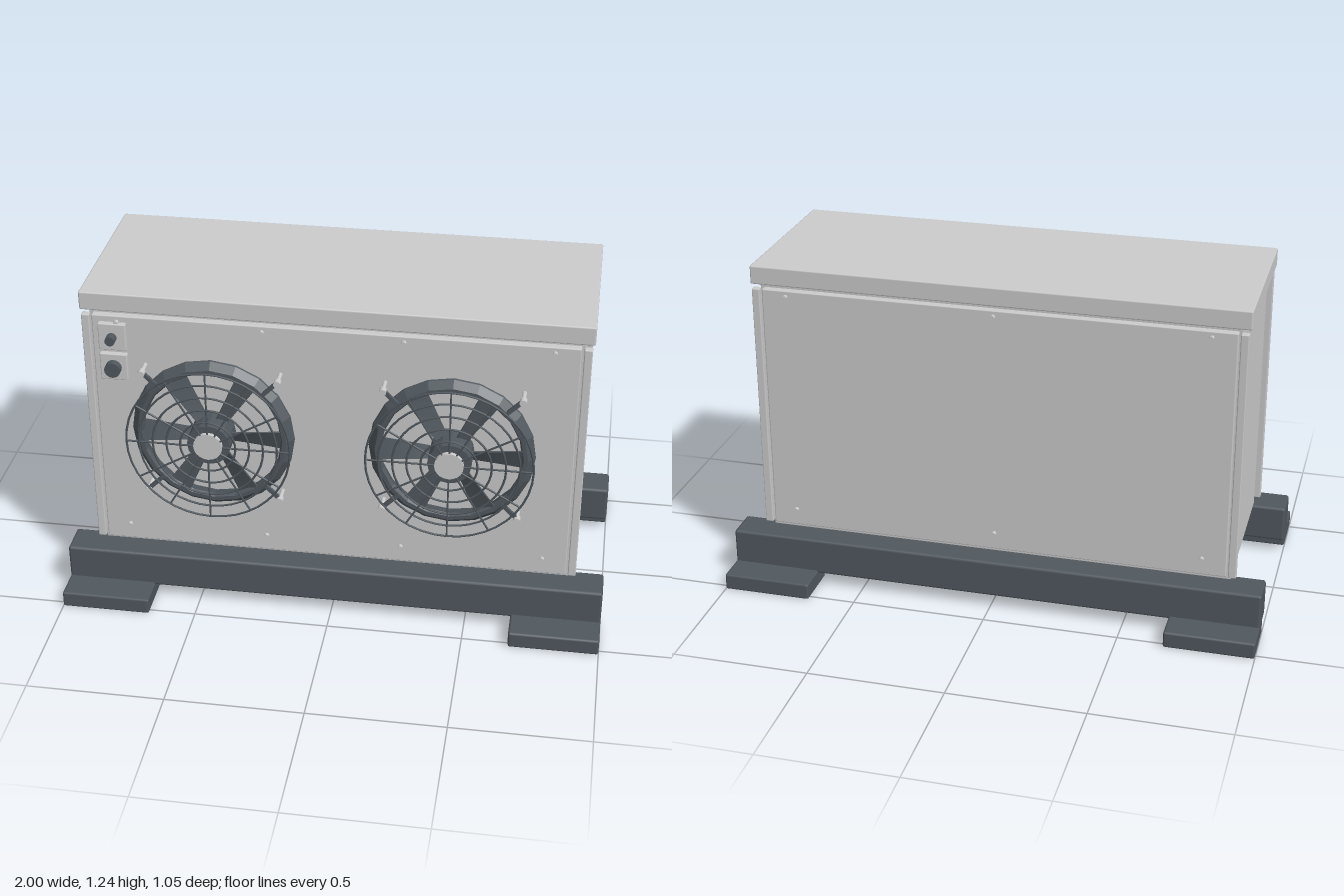
import * as THREE from 'three';
import { RoundedBoxGeometry } from 'three/addons/geometries/RoundedBoxGeometry.js';

const grey = new THREE.MeshStandardMaterial({ color: 0xcccccc });
const dark = new THREE.MeshStandardMaterial({ color: 0x50585e });
const darkFlat = new THREE.MeshStandardMaterial({ color: 0x50585e, flatShading: true });
const bladeMat = new THREE.MeshStandardMaterial({ color: 0x50585e, side: THREE.DoubleSide });

function add(parent, name, geometry, material, x = 0, y = 0, z = 0) {
  const mesh = new THREE.Mesh(geometry, material);
  mesh.name = name;
  mesh.position.set(x, y, z);
  parent.add(mesh);
  return mesh;
}

// Box given by its extents on each axis, with a small bevel
function block(parent, name, material, [x0, x1], [y0, y1], [z0, z1], bevel = 0.006) {
  const g = new RoundedBoxGeometry(x1 - x0, y1 - y0, z1 - z0, 1, bevel);
  return add(parent, name, g, material, (x0 + x1) / 2, (y0 + y1) / 2, (z0 + z1) / 2);
}

// Cylinder lying along z, from z0 to z1
function disc(parent, name, material, r, x, y, z0, z1, sides = 16) {
  const g = new THREE.CylinderGeometry(r, r, z1 - z0, sides).rotateX(Math.PI / 2);
  return add(parent, name, g, material, x, y, (z0 + z1) / 2);
}

// Twisted blade widening towards the tip
function bladeGeometry() {
  const g = new THREE.BoxGeometry(0.2, 1, 0.006, 6, 1, 1);
  const p = g.attributes.position;
  for (let i = 0; i < p.count; i++) {
    const t = p.getX(i) / 0.2 + 0.5;
    const w = p.getY(i) * (0.045 + 0.04 * t);
    const twist = 0.45 - 0.2 * t;
    const z = p.getZ(i);
    p.setXYZ(i, 0.065 + 0.2 * t, w * Math.cos(twist) - z * Math.sin(twist), w * Math.sin(twist) + z * Math.cos(twist));
  }
  g.computeVertexNormals();
  return g;
}

function createFan() {
  const fan = new THREE.Group();
  fan.name = 'fan';

  // Faceted shroud ring
  const profile = [[0.262, 0.34], [0.28, 0.342], [0.297, 0.365], [0.295, 0.372], [0.272, 0.398], [0.257, 0.398], [0.25, 0.385], [0.262, 0.34]]
    .map(([r, z]) => new THREE.Vector2(r, -z)).reverse();
  const shroud = new THREE.LatheGeometry(profile, 20).rotateX(-Math.PI / 2);
  add(fan, 'shroud', shroud, new THREE.MeshStandardMaterial({ color: 0x50585e, flatShading: true, side: THREE.DoubleSide }));

  // Blades and motor hub
  const blade = bladeGeometry();
  for (let i = 0; i < 6; i++) {
    add(fan, 'blade', blade, bladeMat, 0, 0, 0.382).rotation.z = i * Math.PI / 3;
  }
  disc(fan, 'motorHub', darkFlat, 0.078, 0, 0, 0.345, 0.455, 16);
  disc(fan, 'hubCap', grey, 0.052, 0, 0, 0.455, 0.47, 20);

  // Wire guard: rings and spokes
  for (const r of [0.1, 0.15, 0.2, 0.25, 0.296]) {
    add(fan, 'guardRing', new THREE.TorusGeometry(r, 0.004, 6, 40), dark, 0, 0, 0.466);
  }
  for (let i = 0; i < 12; i++) {
    const spoke = new THREE.CylinderGeometry(0.0035, 0.0035, 0.248, 6).translate(0, 0.172, 0);
    add(fan, 'guardSpoke', spoke, dark, 0, 0, 0.466).rotation.z = i * Math.PI / 6;
  }

  // Diagonal mounting arms with bolts
  for (let i = 0; i < 4; i++) {
    const a = Math.PI / 4 + i * Math.PI / 2;
    const arm = new THREE.BoxGeometry(0.09, 0.014, 0.012).translate(0.302, 0, 0);
    add(fan, 'mountArm', arm, dark, 0, 0, 0.395).rotation.z = a;
    const x = 0.345 * Math.cos(a), y = 0.345 * Math.sin(a);
    disc(fan, 'mountPost', grey, 0.008, x, y, 0.335, 0.395, 10);
    disc(fan, 'mountBolt', grey, 0.013, x, y, 0.388, 0.414, 12);
  }
  return fan;
}

export function createModel() {
  const model = new THREE.Group();
  model.name = 'condenserUnit';

  // Cabinet and lid
  block(model, 'cabinet', grey, [-0.875, 0.875], [0.185, 1.18], [-0.312, 0.312]);
  block(model, 'lid', grey, [-0.905, 0.905], [1.165, 1.235], [-0.332, 0.332]);

  for (const s of [-1, 1]) {
    const side = s > 0 ? 'front' : 'back';
    const zs = (a, b) => (s > 0 ? [a, b] : [-b, -a]);
    // Face panel with corner strips
    block(model, side + 'Panel', grey, [-0.86, 0.86], [0.21, 1.152], zs(0.3, 0.338), 0.004);
    for (const m of [-1, 1]) {
      const xs = m > 0 ? [0.868, 0.897] : [-0.897, -0.868];
      block(model, side + 'CornerStrip', grey, xs, [0.21, 1.152], zs(0.314, 0.342), 0.004);
    }
    // Panel screws
    for (const x of s > 0 ? [-0.77, -0.25, 0.25, 0.77] : [-0.77, 0, 0.77]) {
      for (const y of [0.275, 1.13]) {
        disc(model, side + 'Screw', grey, 0.009, x, y, ...zs(0.335, 0.353), 10);
      }
    }
    // Base rail and feet
    block(model, side + 'Rail', dark, [-1, 1], [0.05, 0.19], zs(0.28, 0.41), 0.01);
    for (const m of [-1, 1]) {
      block(model, side + 'Foot', dark, m > 0 ? [0.67, 1] : [-1, -0.67], [0, 0.062], zs(0.335, 0.525), 0.008);
    }
  }

  // Two fans on the front
  for (const x of [-0.43, 0.43]) {
    const fan = createFan();
    fan.position.set(x, 0.722, 0);
    model.add(fan);
  }

  // Control plates with a button and a knob
  for (const [y, r, z] of [[1.077, 0.018, 0.392], [0.957, 0.029, 0.385]]) {
    block(model, 'controlPlate', grey, [-0.835, -0.735], [y - 0.052, y + 0.052], [0.335, 0.358], 0.004);
    disc(model, 'controlKnob', dark, r, -0.785, y, 0.355, z, 16);
  }
  return model;
}
